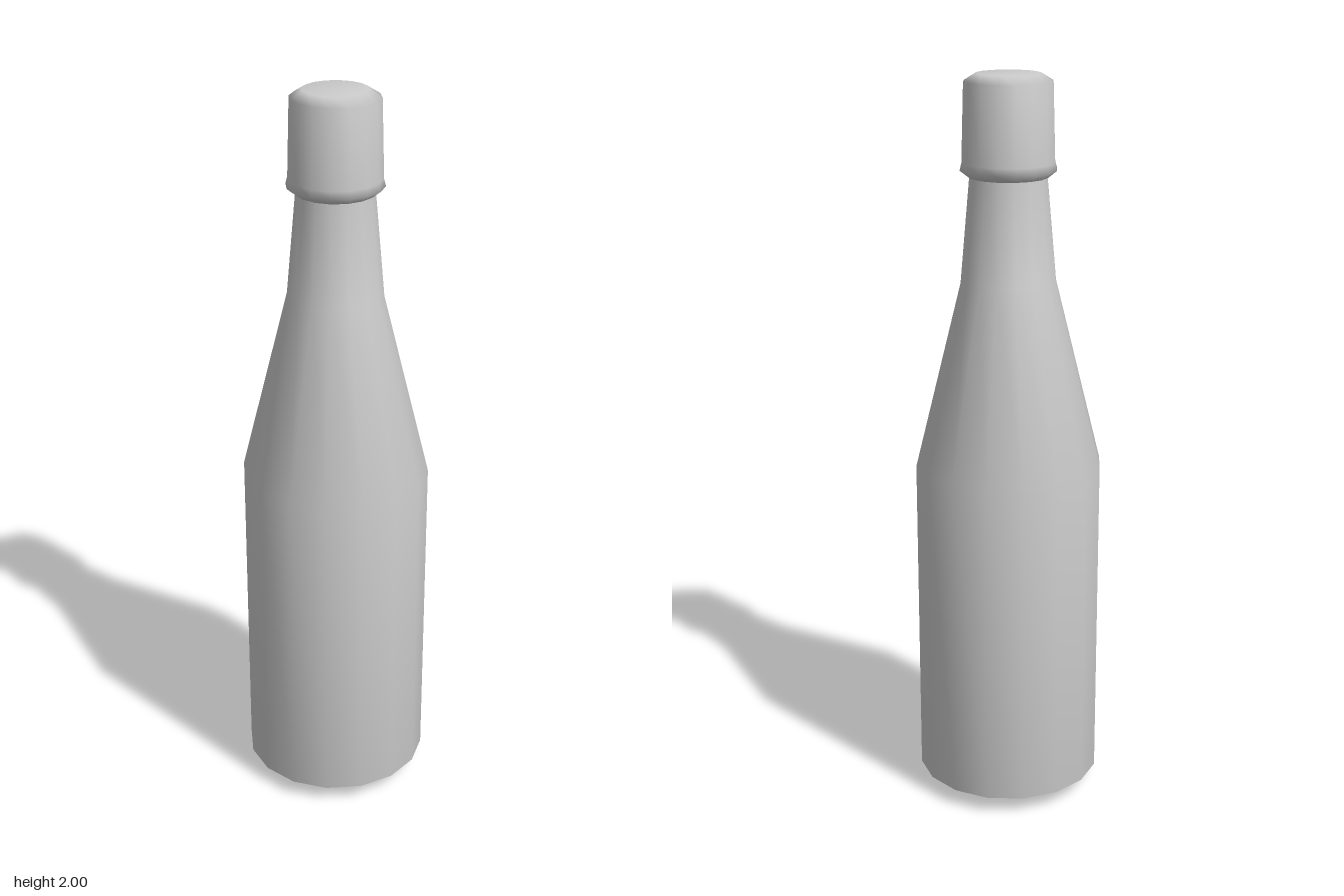
import * as THREE from 'three';

const SIDES = 16;

// Turned part from a [radius, height] profile, listed bottom to top
function turned(name, profile, material) {
  const points = profile.map(([r, y]) => new THREE.Vector2(r, y));
  const mesh = new THREE.Mesh(new THREE.LatheGeometry(points, SIDES), material);
  mesh.name = name;
  return mesh;
}

export function createModel() {
  const group = new THREE.Group();
  group.name = 'bottle';
  const grey = new THREE.MeshStandardMaterial({ color: 0xcccccc });

  // Body: bevelled base, straight wall, sloping shoulder and tapered neck
  group.add(turned('bottleBody', [
    [0, 0], [0.165, 0], [0.254, 0.05], [0.254, 0.955], [0.128, 1.46], [0.102, 1.75],
  ], grey));

  // Cap: flared lower rim, slightly tapered side, bevelled flat top
  group.add(turned('cap', [
    [0, 1.737], [0.105, 1.737], [0.128, 1.755], [0.123, 1.775],
    [0.117, 1.98], [0.085, 2], [0, 2],
  ], grey));

  return group;
}
